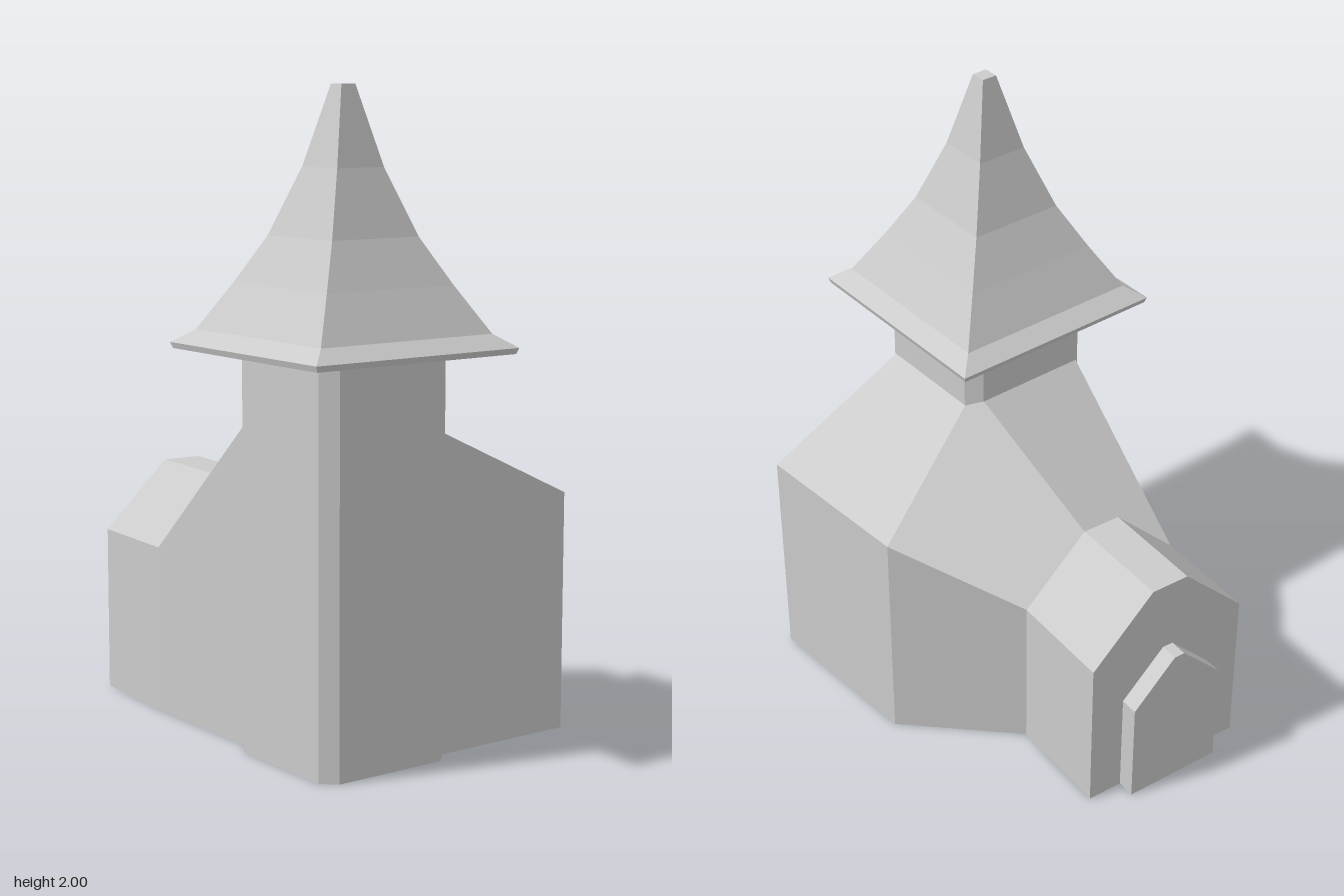
import * as THREE from 'three';

const material = new THREE.MeshStandardMaterial({ color: 0xcccccc });
const flatMaterial = new THREE.MeshStandardMaterial({ color: 0xcccccc, flatShading: true });

// Builds a mesh from polygons; each polygon is a fan with one averaged normal.
function polyMesh(name, polygons) {
  const positions = [], normals = [];
  for (const poly of polygons) {
    const n = new THREE.Vector3();
    poly.forEach((p, i) => n.add(p.clone().cross(poly[(i + 1) % poly.length])));
    n.normalize();
    for (let i = 1; i < poly.length - 1; i++) {
      for (const p of [poly[0], poly[i], poly[i + 1]]) {
        positions.push(p.x, p.y, p.z);
        normals.push(n.x, n.y, n.z);
      }
    }
  }
  const geo = new THREE.BufferGeometry();
  geo.setAttribute('position', new THREE.Float32BufferAttribute(positions, 3));
  geo.setAttribute('normal', new THREE.Float32BufferAttribute(normals, 3));
  const mesh = new THREE.Mesh(geo, material);
  mesh.name = name;
  return mesh;
}

const V = (x, y, z) => new THREE.Vector3(x, y, z);
const ground = (p) => V(p.x, 0, p.z);

// Gable outline standing on the line from l to r, with a flat strip along its ridge
function gableLoop([lx, lz], [rx, rz], eave, ridge, t0, t1) {
  const at = (t, y) => V(lx + (rx - lx) * t, y, lz + (rz - lz) * t);
  return [at(0, 0), at(1, 0), at(1, eave), at(t1, ridge), at(t0, ridge), at(0, eave)];
}

// Gabled block between two outlines, closed at the back
function gabledBlock(name, front, back) {
  const faces = front.map((p, i) => {
    const j = (i + 1) % front.length;
    return [p, back[i], back[j], front[j]];
  });
  faces.push([...back].reverse());
  return polyMesh(name, faces);
}

// Square tower with chamfered corners
function tower() {
  const h = 0.232, k = h - 0.043;
  const corners = [[h, k], [k, h], [-k, h], [-h, k], [-h, -k], [-k, -h], [k, -h], [h, -k]];
  const shape = new THREE.Shape(corners.map(([x, y]) => new THREE.Vector2(x, y)));
  const geo = new THREE.ExtrudeGeometry(shape, { depth: 1.23, bevelEnabled: false });
  geo.rotateX(-Math.PI / 2).translate(-0.178, 0, 0.381);
  const mesh = new THREE.Mesh(geo, material);
  mesh.name = 'tower';
  return mesh;
}

// Flared four-sided spire with a thin eave edge
function spire() {
  const profile = [[0, 1.222], [0.36, 1.222], [0.366, 1.24], [0.31, 1.28], [0.23, 1.42],
    [0.157, 1.56], [0.085, 1.76], [0.025, 2], [0, 2]];
  const points = profile.map(([r, y]) => new THREE.Vector2(r * Math.SQRT2, y));
  const geo = new THREE.LatheGeometry(points, 4);
  geo.rotateY(Math.PI / 4).translate(-0.178, 0, 0.376);
  const mesh = new THREE.Mesh(geo, flatMaterial);
  mesh.name = 'spireRoof';
  return mesh;
}

export function createModel() {
  const group = new THREE.Group();
  group.name = 'church';

  const naveFront = gableLoop([-0.368, -0.345], [0.197, -0.305], 0.535, 0.75, 0.385, 0.615);
  const naveBack = gableLoop([-0.345, -0.695], [0.22, -0.657], 0.535, 0.75, 0.385, 0.615);
  const [, , d, e, f, g] = naveFront;

  // Hall roof corners, running round the tower
  const a = V(0.054, 0.98, 0.565), b = V(0.54, 0.75, 0.565), c = V(0.505, 0.75, 0);
  const h = V(-0.368, 1, 0.15), i = V(0.01, 1, 0.15), j = V(0.054, 0.98, 0.19);
  const wall = (p, q) => [ground(p), ground(q), q, p];
  group.add(polyMesh('hallWalls', [
    wall(a, b), wall(b, c), wall(c, d), wall(g, h),
    [d, c, b, a, j, i, h, g].map(ground),
  ]));
  group.add(polyMesh('hallRoof', [[a, b, c, j], [c, d, e, i, j], [h, i, e, f, g]]));

  group.add(gabledBlock('nave', naveFront, naveBack));

  // Shallow porch on the rear gable
  group.add(gabledBlock('porch',
    gableLoop([-0.228, -0.68], [0.102, -0.66], 0.357, 0.505, 0.44, 0.55),
    gableLoop([-0.224, -0.745], [0.106, -0.725], 0.357, 0.505, 0.44, 0.55)));

  group.add(tower(), spire());
  return group;
}
